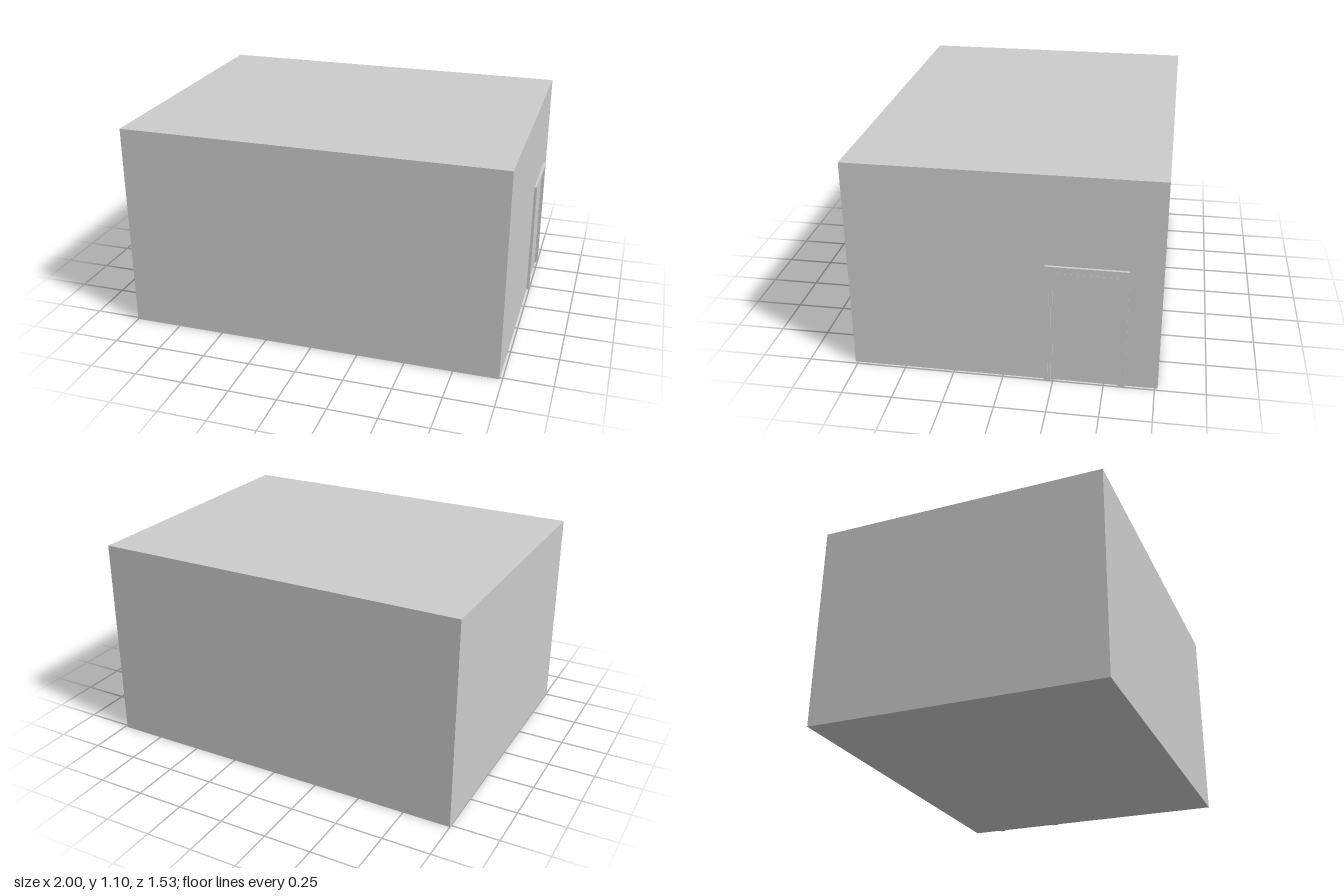
import * as THREE from 'three';

const WALL_X = 0.985, HEIGHT = 1.1, DEPTH = 1.53;
const DOOR_Z = -0.405; // centre of the doorway

export function createModel() {
  const model = new THREE.Group();
  model.name = 'room';
  const material = new THREE.MeshStandardMaterial({ color: 0xcccccc, flatShading: true });

  const add = (name, geometry, x, y, z) => {
    const mesh = new THREE.Mesh(geometry, material);
    mesh.name = name;
    mesh.position.set(x, y, z);
    model.add(mesh);
    return mesh;
  };

  // Closed room shell: floor, walls and ceiling
  add('roomShell', new THREE.BoxGeometry(WALL_X + 1, HEIGHT, DEPTH), (WALL_X - 1) / 2, HEIGHT / 2, 0);

  // U-shaped band around the doorway, standing out from the wall
  const doorBand = (name, outerHalf, outerTop, innerHalf, innerTop, thickness) => {
    const shape = new THREE.Shape([
      [-outerHalf, 0], [-innerHalf, 0], [-innerHalf, innerTop], [innerHalf, innerTop],
      [innerHalf, 0], [outerHalf, 0], [outerHalf, outerTop], [-outerHalf, outerTop],
    ].map(([x, y]) => new THREE.Vector2(x, y)));
    const geometry = new THREE.ExtrudeGeometry(shape, { depth: thickness, bevelEnabled: false });
    add(name, geometry, WALL_X, 0, DOOR_Z).rotation.y = Math.PI / 2;
  };

  // Stepped casing, then the thin door stop
  doorBand('outerCasing', 0.2, 0.64, 0.18, 0.622, 0.015);
  doorBand('innerCasing', 0.18, 0.622, 0.168, 0.61, 0.012);
  doorBand('doorStop', 0.168, 0.61, 0.16, 0.602, 0.005);

  // Door leaf, almost flush with the wall
  add('doorLeaf', new THREE.BoxGeometry(0.01, 0.594, 0.314), WALL_X - 0.004, 0.302, DOOR_Z);

  return model;
}
